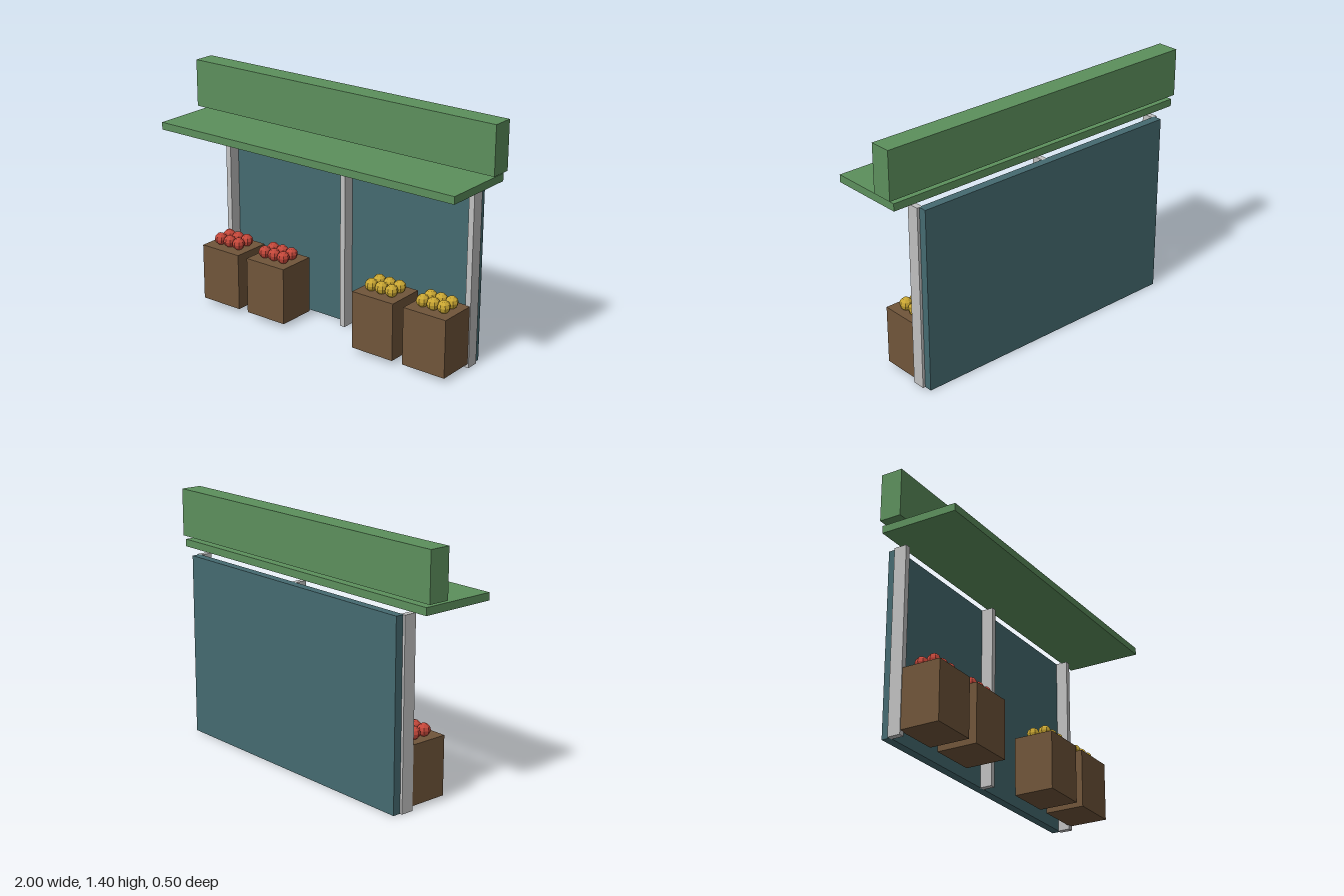
import * as THREE from 'three';

const material = (name, color, flatShading = false) => {
  const m = new THREE.MeshStandardMaterial({ color, flatShading });
  m.name = name;
  return m;
};

export function createModel() {
  const green = material('awning green', 0x5c8f5c);
  const teal = material('wall teal', 0x456a70);
  const grey = material('post grey', 0xc0c0c0);
  const brown = material('crate brown', 0x70553a);
  const red = material('fruit red', 0xc4473a, true);
  const yellow = material('fruit yellow', 0xc9a632, true);

  const model = new THREE.Group();
  model.name = 'marketStall';

  // Box given by its lower and upper corners
  const box = (name, mat, [x0, y0, z0], [x1, y1, z1], parent = model) => {
    const mesh = new THREE.Mesh(new THREE.BoxGeometry(x1 - x0, y1 - y0, z1 - z0), mat);
    mesh.position.set((x0 + x1) / 2, (y0 + y1) / 2, (z0 + z1) / 2);
    mesh.name = name;
    parent.add(mesh);
  };

  // Back wall, floating canopy and sign board
  box('backWall', teal, [-0.833, 0, -0.25], [0.833, 1.045, -0.2]);
  box('canopy', green, [-0.977, 1.065, -0.19], [0.977, 1.107, 0.25]);
  box('signBoard', green, [-1, 1.125, -0.19], [1, 1.396, -0.067]);

  // Posts in front of the wall
  box('leftPost', grey, [0.815, 0, -0.205], [0.848, 1.045, -0.132]);
  box('middlePost', grey, [-0.016, 0, -0.205], [0.016, 1.045, -0.132]);
  box('rightPost', grey, [-0.848, 0, -0.205], [-0.815, 1.045, -0.132]);

  // Crates, each with two rows of three fruits
  const fruitShape = new THREE.SphereGeometry(0.036, 8, 6);
  const crates = [[-0.71, red], [-0.377, red], [0.373, yellow], [0.708, yellow]];
  for (const [x, fruitMat] of crates) {
    const stand = new THREE.Group();
    stand.name = 'fruitStand';
    stand.position.x = x;
    box('crate', brown, [-0.134, 0.024, -0.14], [0.134, 0.355, 0.09], stand);
    for (const dx of [-0.067, 0, 0.067]) {
      for (const z of [-0.064, 0.009]) {
        const fruit = new THREE.Mesh(fruitShape, fruitMat);
        fruit.name = 'fruit';
        fruit.position.set(dx, 0.386, z);
        stand.add(fruit);
      }
    }
    model.add(stand);
  }

  return model;
}
